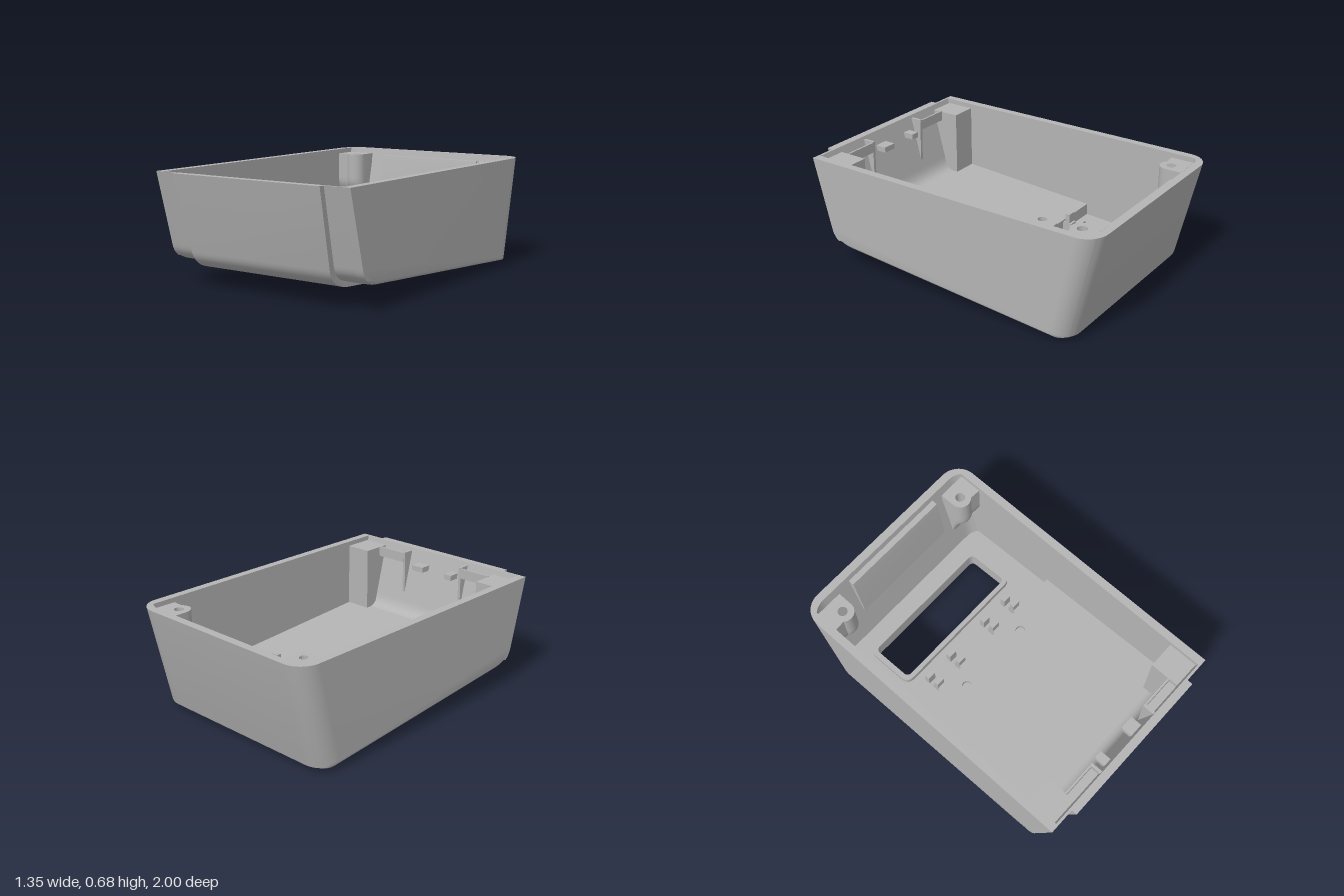
import * as THREE from 'three';
import { toCreasedNormals } from 'three/addons/utils/BufferGeometryUtils.js';

const TOP = 0.68, R = 0.13;
const bodyY = z => 0.088 + 0.068 * z;      // underside of the tub
const panelY = z => 0.055 + 0.0695 * z;    // underside of the raised panel
const floorY = z => 0.193 + 0.06 * z;      // thick front floor
const rearY = z => 0.12 + 0.06 * z;        // thin rear floor

export function createModel() {
  const group = new THREE.Group();
  const grey = new THREE.MeshStandardMaterial({ color: 0xb4b4b4 });
  grey.name = 'grey plastic';

  const add = (name, geo, rule) => {
    if (rule) {
      const p = geo.attributes.position, v = new THREE.Vector3();
      for (let i = 0; i < p.count; i++) {
        rule(v.fromBufferAttribute(p, i));
        p.setXYZ(i, v.x, v.y, v.z);
      }
    }
    const mesh = new THREE.Mesh(toCreasedNormals(geo, 0.5), grey);
    mesh.name = name;
    group.add(mesh);
  };

  // side profile of [z, y] points, swept from x0 to x1
  const sweep = (name, pts, x0, x1, steps = 1, rule) => {
    const shape = new THREE.Shape(pts.map(([z, y]) => new THREE.Vector2(z, y)));
    const geo = new THREE.ExtrudeGeometry(shape, { depth: x1 - x0, steps, bevelEnabled: false });
    add(name, geo.rotateY(-Math.PI / 2).translate(x1, 0, 0), rule);
  };
  // plan shape (drawn with y = -z), raised from y0 to y1
  const raise = (name, shape, y0, y1, rule, steps = 1) => {
    const geo = new THREE.ExtrudeGeometry(shape, { depth: y1 - y0, steps, bevelEnabled: false, curveSegments: 10 });
    add(name, geo.rotateX(-Math.PI / 2).translate(0, y0, 0), rule);
  };
  const box = (name, x0, x1, y0, y1, z0, z1) =>
    add(name, new THREE.BoxGeometry(x1 - x0, y1 - y0, z1 - z0)
      .translate((x0 + x1) / 2, (y0 + y1) / 2, (z0 + z1) / 2));
  // rounded rectangle in plan; r0 rounds the back corners, r1 the front ones
  const plan = (x0, x1, z0, z1, r0, r1 = r0, Kind = THREE.Shape) => {
    const s = new Kind(), a = -z1, b = -z0;
    s.moveTo(x0 + r1, a).lineTo(x1 - r1, a);
    s.quadraticCurveTo(x1, a, x1, a + r1).lineTo(x1, b - r0);
    s.quadraticCurveTo(x1, b, x1 - r0, b).lineTo(x0 + r0, b);
    s.quadraticCurveTo(x0, b, x0, b - r0).lineTo(x0, a + r1);
    s.quadraticCurveTo(x0, a, x0 + r1, a);
    return s;
  };
  const hole = (x, z, r) => new THREE.Path().absarc(x, -z, r, 0, Math.PI * 2, true);
  const bend = (a, c, b) => new THREE.QuadraticBezierCurve(
    new THREE.Vector2(...a), new THREE.Vector2(...c), new THREE.Vector2(...b)
  ).getPoints(10).map(p => [p.x, p.y]);

  // rounds the back vertical corners
  const cornerRule = v => {
    const d = Math.min(R, Math.max(0, Math.abs(v.x) - 0.545));
    if (v.z < -0.8) v.z += R - Math.sqrt(R * R - d * d);
  };
  const sideRule = v => {
    const s = Math.sign(v.x), t = (Math.abs(v.x) - 0.625) / 0.05;
    const x = 0.545 + R * Math.sin(THREE.MathUtils.lerp(0.663, Math.PI / 2, t));
    v.x = s * x;
    cornerRule(v);
    const e = Math.min(1, Math.max(0, (x - 0.645) / 0.03));
    if (v.y < 0.16) v.y += 0.025 * (1 - Math.sqrt(1 - e * e));
  };

  // tub: front wall and floor, back wall, side walls
  const frontOuter = [[0.965, TOP], ...bend([0.85, 0.24], [0.828, 0.145], [0.7, bodyY(0.7)])];
  const backOuter = [[-0.84, bodyY(-0.84)], [-0.853, 0.037], [-0.858, 0.05], [-1, TOP]];
  sweep('frontWallAndFloor', [
    ...frontOuter, [-0.395, bodyY(-0.395)], [-0.395, rearY(-0.395)],
    [-0.19, rearY(-0.19)], [-0.19, floorY(-0.19) - 0.03], [0.8, floorY(0.8) - 0.03],
    ...bend([0.79, floorY(0.79)], [0.845, 0.25], [0.862, 0.33]), [0.95, TOP],
  ], -0.625, 0.625);
  sweep('backWall', [
    [-0.705, rearY(-0.705)], [-0.705, bodyY(-0.705)], ...backOuter,
    [-0.95, TOP], [-0.825, rearY(-0.825)],
  ], -0.625, 0.625, 60, cornerRule);
  for (const s of [-1, 1]) {
    const span = (a, b) => s > 0 ? [a, b] : [-b, -a];
    sweep('sideWall', [...frontOuter, ...backOuter], ...span(0.625, 0.675), 10, sideRule);
    sweep('floorBesideWindow', [
      [-0.705, bodyY(-0.705)], [-0.395, bodyY(-0.395)],
      [-0.395, rearY(-0.395)], [-0.705, rearY(-0.705)],
    ], ...span(0.465, 0.625));
  }

  // floor plate with two round holes
  const floor = plan(-0.625, 0.625, -0.19, 0.8, 0, 0);
  floor.holes.push(hole(-0.255, -0.08, 0.03), hole(0.245, -0.08, 0.03));
  raise('floorPlate', floor, -0.03, 0, v => { v.y += floorY(v.z); });

  // raised panel under the base, with window and recess
  const base = plan(-0.485, 0.485, -0.725, 0.7, 0.07, 0);
  base.holes.push(plan(-0.455, 0.455, -0.695, -0.405, 0.035, 0.035, THREE.Path),
    plan(0.24, 0.45, 0.5, 0.68, 0.025, 0.025, THREE.Path));
  raise('basePanel', base, 0, 0.036, v => { v.y += panelY(v.z); });
  raise('recessFloor', plan(0.235, 0.455, 0.495, 0.685, 0), 0.016, 0.034, v => { v.y += panelY(v.z); });

  // panel continuing up the front
  sweep('frontPanel', [
    [1, TOP], ...bend([0.885, 0.22], [0.858, 0.115], [0.7, panelY(0.7)]),
    ...bend([0.7, 0.138], [0.825, 0.148], [0.846, 0.24]), [0.96, TOP],
  ], -0.5, 0.5, 1, v => { v.x *= (0.485 + 0.025 * Math.max(0, (v.y - 0.14) / 0.54)) / 0.5; });

  // window collar
  const collar = plan(-0.483, 0.483, -0.722, -0.38, 0.06);
  collar.holes.push(plan(-0.45, 0.45, -0.69, -0.41, 0.035, 0.035, THREE.Path));
  raise('windowCollar', collar, 0.001, 0.11, v => { v.y += panelY(v.z); });

  // clips behind the floor step
  for (const x of [-0.357, -0.162, 0.152, 0.347]) {
    box('clipFoot', x - 0.027, x + 0.027, 0.09, 0.17, -0.25, -0.185);
    box('clipPost', x - 0.027, x + 0.027, 0.09, 0.23, -0.235, -0.205);
    box('clipHook', x - 0.027, x + 0.027, 0.08, 0.19, -0.32, -0.285);
  }

  for (const s of [-1, 1]) {
    const span = (a, b) => s > 0 ? [a, b] : [-b, -a];
    // back screw posts, tapering into the leaning wall
    const post = new THREE.Shape();
    post.moveTo(s * 0.63, 0.77).lineTo(s * 0.63, 0.92).lineTo(s * 0.445, 0.92).lineTo(s * 0.445, 0.82);
    for (let i = 1; i <= 10; i++) {
      const a = Math.PI + i * Math.PI * 0.075;
      post.lineTo(s * (0.51 + 0.065 * Math.cos(a)), 0.82 + 0.065 * Math.sin(a));
    }
    post.holes.push(hole(s * 0.512, -0.825, 0.03));
    raise('backScrewPost', post, 0.27, 0.65, v => {
      const wall = -0.93 + (0.65 - v.y) * 0.23;
      v.z = Math.max(v.z, wall);
      v.z = THREE.MathUtils.lerp(wall, v.z, Math.min(1, (v.y - 0.27) / 0.17));
    }, 12);

    // front corner blocks, ribs, trays
    const block = plan(...span(0.455, 0.63), 0.75, 0.95, 0);
    raise('frontCornerBlock', block, 0.22, 0.65, v => {
      v.z = Math.min(v.z, 0.945 - (TOP - v.y) * 0.26);
    });
    sweep('frontRib', [[0.87, 0.66], [0.95, 0.66], [0.875, 0.36]], ...span(0.225, 0.243));
    box('frontTray', ...span(0.24, 0.455), 0.59, 0.62, 0.87, 0.95);
    box('trayLip', ...span(0.24, 0.455), 0.59, 0.655, 0.87, 0.882);
  }

  // small hooks on the front wall
  for (const [a, b] of [[-0.177, -0.123], [0.06, 0.15]]) box('frontHook', a, b, 0.56, 0.595, 0.855, 0.935);

  // plate on the inside of the back wall
  sweep('backInnerPlate', [[-0.95, 0.64], [-0.905, 0.64], [-0.897, 0.6], [-0.86, 0.32], [-0.89, 0.32]], -0.345, 0.385);

  return group;
}
